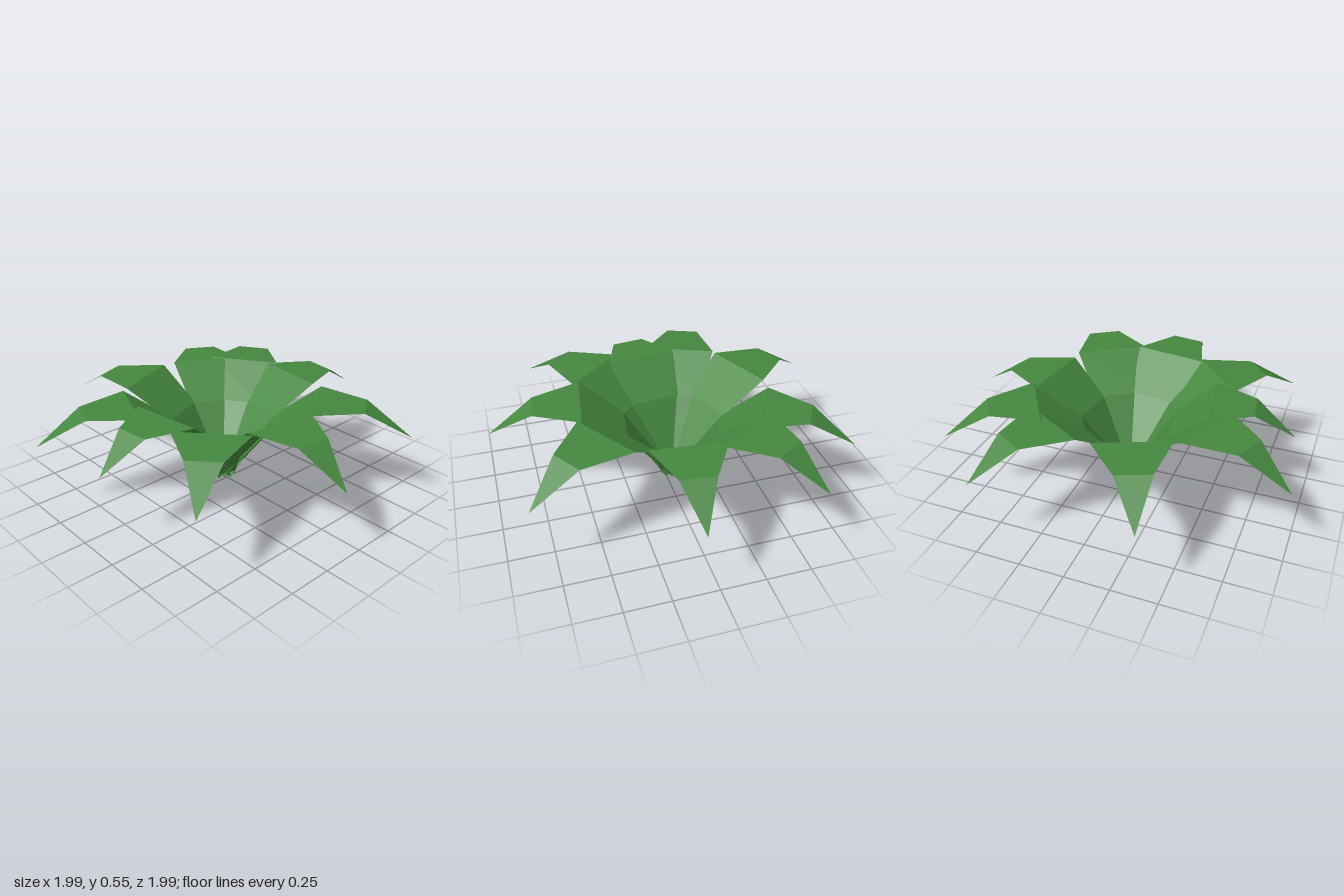
import * as THREE from 'three';

// One folded leaf: flat cross-sections [fraction of length, height, half width]
const SECTIONS = [
  [0, 0, 0.065],
  [0.26, 0.37, 0.15],
  [0.5, 0.55, 0.212],
  [0.755, 0.543, 0.097],
  [1, 0.385, 0],
];

function leafGeometry(length) {
  const positions = [];
  const indices = [];
  SECTIONS.forEach(([t, y, w], i) => {
    positions.push(t * length, y, -w, t * length, y, w);
    if (i === 0) return;
    const a = 2 * (i - 1);
    indices.push(a, a + 1, a + 2);
    if (w > 0) indices.push(a + 1, a + 3, a + 2);
    else indices.pop(), indices.push(a + 2);
  });
  const geometry = new THREE.BufferGeometry();
  geometry.setAttribute('position', new THREE.Float32BufferAttribute(positions, 3));
  geometry.setIndex(indices);
  const flat = geometry.toNonIndexed();
  flat.computeVertexNormals();
  return flat;
}

export function createModel() {
  const plant = new THREE.Group();
  plant.name = 'leafyPlant';
  const leafGreen = new THREE.MeshStandardMaterial({
    color: 0x45873f, side: THREE.DoubleSide, flatShading: true,
  });
  leafGreen.name = 'leafGreen';

  // Leaves fan out from a shared root to these tips (x, z)
  const root = [-0.045, -0.012];
  const tips = [
    [0.08, -1.0], [0.86, -0.6], [0.99, 0.13], [0.68, 0.81], [0.07, 0.92],
    [-0.44, 0.99], [-1.0, 0.38], [-0.94, -0.54], [-0.61, -0.89],
  ];
  tips.forEach(([x, z], i) => {
    const dx = x - root[0];
    const dz = z - root[1];
    const leaf = new THREE.Mesh(leafGeometry(Math.hypot(dx, dz)), leafGreen);
    leaf.name = `leaf${i + 1}`;
    leaf.position.set(root[0], 0, root[1]);
    leaf.rotation.y = Math.atan2(-dz, dx);
    // Tiny height steps keep overlapping leaves apart
    leaf.scale.y = 1 + ((i * 4) % 9 - 4) * 0.0015;
    plant.add(leaf);
  });
  return plant;
}
